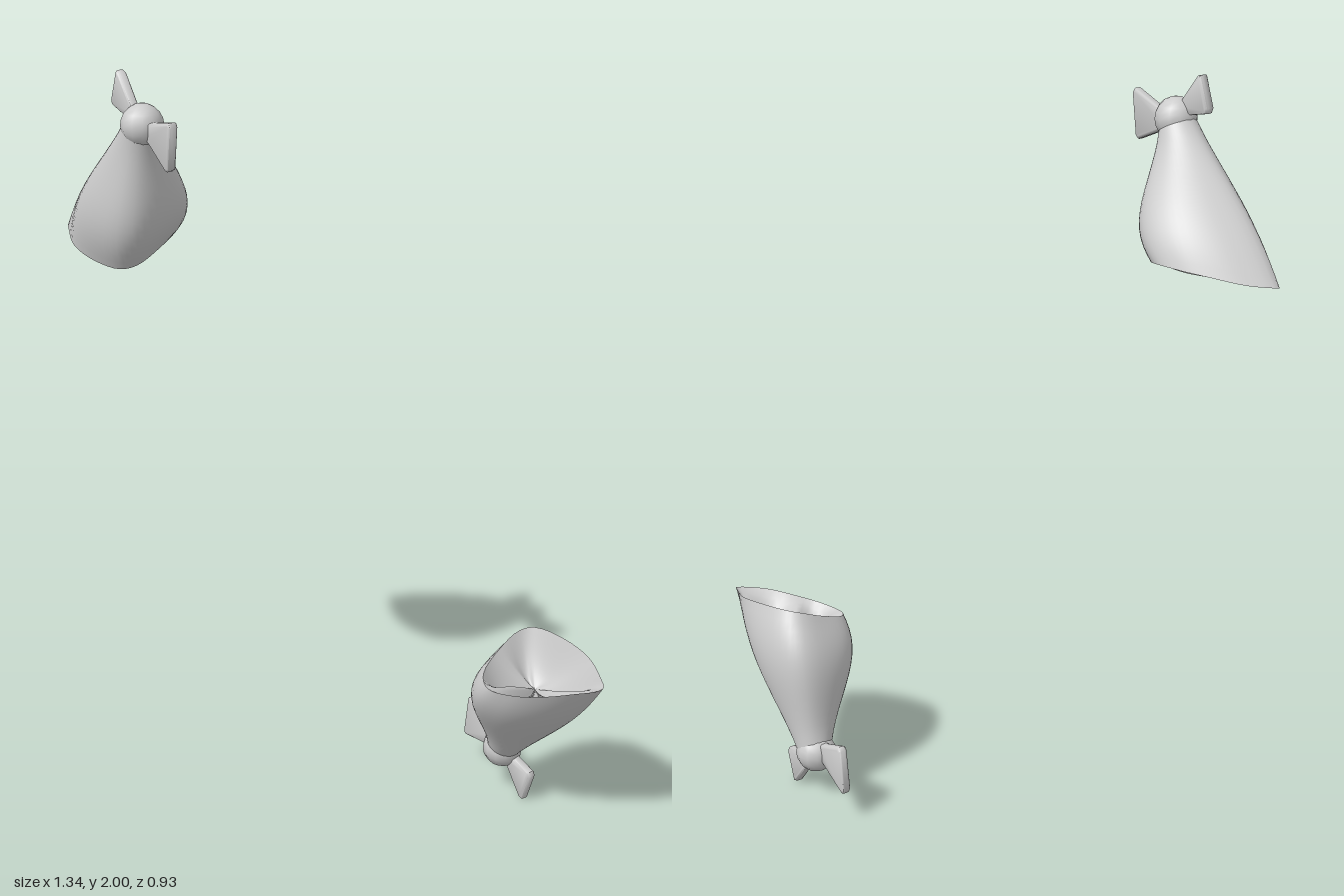
import * as THREE from 'three';
import { toCreasedNormals } from 'three/addons/utils/BufferGeometryUtils.js';

const V = (x, y, z) => new THREE.Vector3(x, y, z);
const N = 48;

// Mouth of the bunch, starting at its long tip and running round the front
const rim = new THREE.CatmullRomCurve3([
  V(0.67, 0.47, -0.38), V(0.632, 0.46, -0.31), V(0.565, 0.443, -0.245), V(0.505, 0.434, -0.208),
  V(0.435, 0.43, -0.19), V(0.38, 0.443, -0.22), V(0.345, 0.476, -0.3), V(0.337, 0.508, -0.375),
  V(0.36, 0.517, -0.41), V(0.45, 0.512, -0.435), V(0.55, 0.497, -0.435), V(0.63, 0.482, -0.405),
], true);
const neck = V(0.275, 0.14, -0.387);
const across = V(0.87, -0.45, 0);
const well = V(0.42, 0.37, -0.365);

// Skin a grid of rings; point(u, t) gives each position
function skin(rows, point) {
  const pos = [], index = [];
  for (let j = 0; j <= rows; j++)
    for (let i = 0; i < N; i++) pos.push(...point(i / N, j / rows).toArray());
  for (let j = 0; j < rows; j++)
    for (let i = 0; i < N; i++) {
      const a = j * N + i, b = j * N + (i + 1) % N;
      index.push(a, a + N, b, b, a + N, b + N);
    }
  const g = new THREE.BufferGeometry();
  g.setAttribute('position', new THREE.Float32BufferAttribute(pos, 3));
  g.setIndex(index);
  g.computeVertexNormals();
  return g;
}

// Flaring outer side, bulging most just below the mouth
function bodyGeometry() {
  return skin(14, (u, t) => {
    const a = u * Math.PI * 2;
    const out = across.clone().multiplyScalar(Math.cos(a)).add(V(0, 0, Math.sin(a)));
    const bulge = Math.sin(Math.PI * t ** 1.5) * (0.031 - 0.012 * Math.cos(a));
    return neck.clone().addScaledVector(out, 0.05).lerp(rim.getPoint(u), t)
      .addScaledVector(out, bulge);
  });
}

// Sunken mouth with folds radiating from its deepest point
function mouthGeometry() {
  return skin(12, (u, t) => {
    const a = u * Math.PI * 2;
    const p = rim.getPoint(u).lerp(well, t);
    const front = 0.55 + 0.45 * Math.sin(a);
    p.y += Math.sin(Math.PI * t) * (0.034 * front * Math.cos(6 * a) - 0.025);
    return p;
  });
}

// Thin flared bow wing, leaning in z along x
function wingGeometry(corners, x0, z0, slope) {
  const shape = new THREE.Shape(corners.map(c => new THREE.Vector2(...c)));
  const g = new THREE.ExtrudeGeometry(shape, {
    depth: 0.012, bevelEnabled: true, bevelThickness: 0.008,
    bevelSize: 0.008, bevelOffset: -0.008, bevelSegments: 3,
  });
  const p = g.attributes.position;
  for (let i = 0; i < p.count; i++)
    p.setZ(i, p.getZ(i) - 0.006 + z0 + slope * (p.getX(i) - x0));
  return toCreasedNormals(g, 0.9);
}

// Point reflection through the centre of the model, with winding reversed
function reflect(geometry) {
  const g = geometry.index ? geometry.toNonIndexed() : geometry;
  for (const name of ['position', 'normal']) {
    const at = g.attributes[name];
    for (let i = 0; i < at.count; i++) {
      const y = name === 'position' ? 2 - at.getY(i) : -at.getY(i);
      at.setXYZ(i, -at.getX(i), y, -at.getZ(i));
    }
    for (let i = 0; i < at.count; i += 3) {
      const b = V().fromBufferAttribute(at, i + 1), c = V().fromBufferAttribute(at, i + 2);
      at.setXYZ(i + 1, c.x, c.y, c.z);
      at.setXYZ(i + 2, b.x, b.y, b.z);
    }
  }
  return g;
}

function bunch(name, reflected) {
  const group = new THREE.Group();
  group.name = name;
  const material = new THREE.MeshStandardMaterial({ color: 0xcccccc });
  const knot = new THREE.SphereGeometry(0.055, 12, 10);
  knot.translate(0.266, 0.123, -0.389);
  const parts = {
    body: bodyGeometry(),
    foldedMouth: mouthGeometry(),
    knot,
    largeBowWing: wingGeometry(
      [[0.25, 0.11], [0.25, 0.155], [0.215, 0.165], [0.112, 0.207], [0.1, 0.2], [0.08, 0.09], [0.088, 0.079], [0.215, 0.108]],
      0.22, -0.388, 0.18),
    smallBowWing: wingGeometry(
      [[0.27, 0.09], [0.345, 0.003], [0.357, 0], [0.388, 0.08], [0.382, 0.093], [0.315, 0.108], [0.29, 0.125]],
      0.28, -0.4, 0.06),
  };
  for (const [part, geometry] of Object.entries(parts)) {
    const mesh = new THREE.Mesh(reflected ? reflect(geometry) : geometry, material);
    mesh.name = part;
    group.add(mesh);
  }
  return group;
}

export function createModel() {
  const model = new THREE.Group();
  model.name = 'tiedBunches';
  model.add(bunch('lowerBunch', false), bunch('upperBunch', true));
  return model;
}
